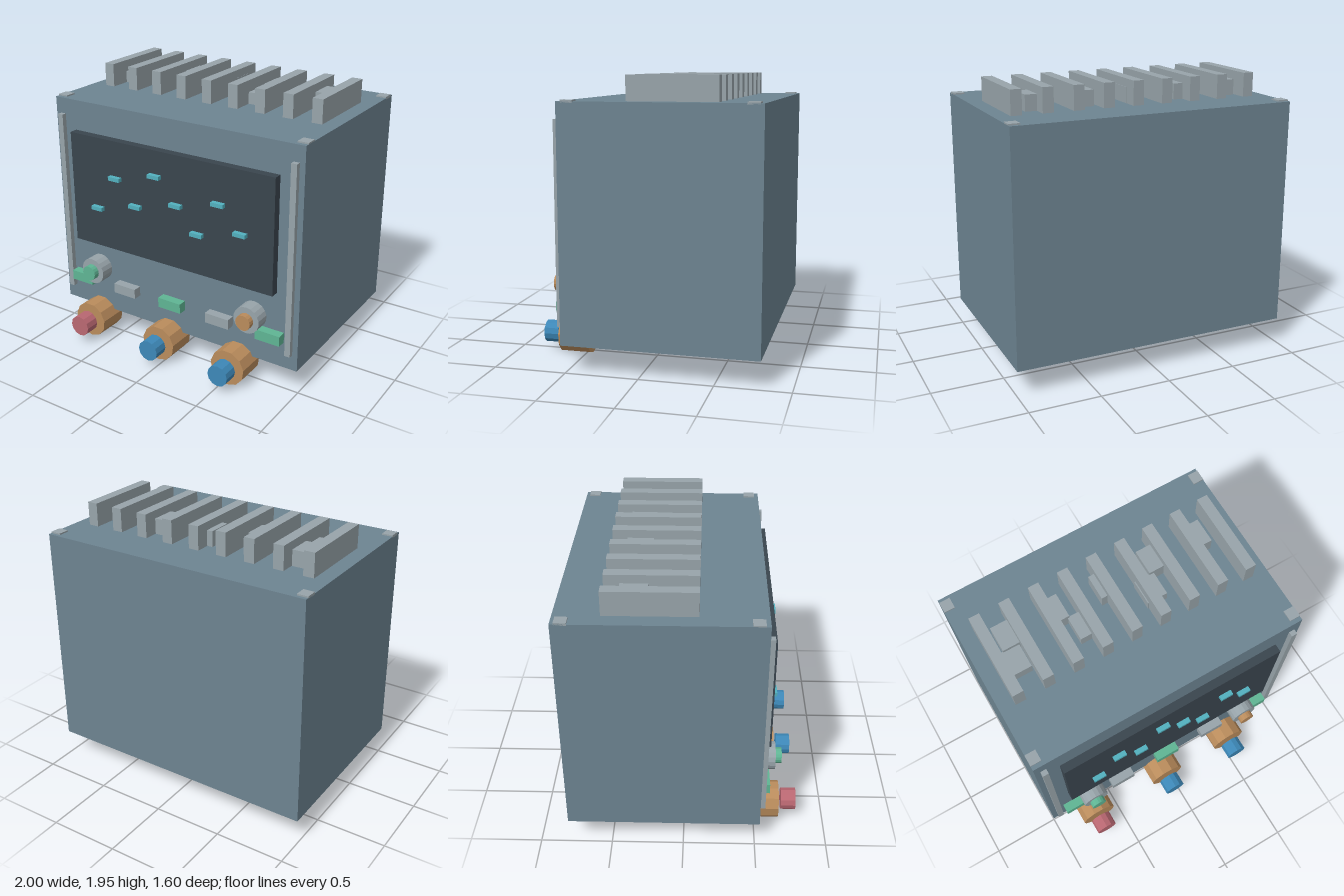
import * as THREE from 'three';

const mat = (name, color) => {
  const m = new THREE.MeshStandardMaterial({ color, flatShading: true });
  m.name = name;
  return m;
};

export function createModel() {
  const slate = mat('slate blue', 0x6d8491);
  const grey = mat('light grey', 0x98a4aa);
  const dark = mat('dark screen', 0x3a454e);
  const cyan = mat('cyan', 0x52b0be);
  const green = mat('green', 0x5fb594);
  const orange = mat('copper', 0xba8c5c);
  const blue = mat('blue', 0x3d88b8);
  const red = mat('red', 0xba6872);

  const model = new THREE.Group();
  model.name = 'controlConsole';

  // Box given by its lower and upper limits on each axis
  const box = (name, material, x0, x1, y0, y1, z0, z1) => {
    const mesh = new THREE.Mesh(new THREE.BoxGeometry(x1 - x0, y1 - y0, z1 - z0), material);
    mesh.position.set((x0 + x1) / 2, (y0 + y1) / 2, (z0 + z1) / 2);
    mesh.name = name;
    model.add(mesh);
  };

  // Cylinder pointing to the front
  const knob = (name, material, x, y, r, z0, z1, sides) => {
    const geo = new THREE.CylinderGeometry(r, r, z1 - z0, sides).rotateX(Math.PI / 2);
    const mesh = new THREE.Mesh(geo, material);
    mesh.position.set(x, y, (z0 + z1) / 2);
    mesh.name = name;
    model.add(mesh);
  };

  // Cabinet, screen and side rails
  box('cabinet', slate, -1, 1, 0.19, 1.79, -0.8, 0.53);
  box('screen', dark, -0.83, 0.83, 0.74, 1.57, 0.52, 0.59);
  for (const s of [-1, 1]) {
    box('sideRail', grey, s * 0.94 - 0.021, s * 0.94 + 0.021, 0.305, 1.675, 0.52, 0.565);
    // Corner plates on the roof
    for (const z of [-0.735, 0.46]) {
      box('cornerPlate', grey, s * 0.962 - 0.038, s * 0.962 + 0.038, 1.78, 1.8, z - 0.04, z + 0.04);
    }
  }

  // Dashes on the screen
  const dashes = [[-0.6, 1.043], [-0.433, 1.3], [-0.262, 1.128], [-0.092, 1.388],
    [0.08, 1.214], [0.25, 1.043], [0.418, 1.3], [0.588, 1.128]];
  for (const [x, y] of dashes) {
    box('screenDash', cyan, x - 0.047, x + 0.047, y - 0.014, y + 0.014, 0.585, 0.625);
  }

  // Row of buttons
  for (let i = 0; i < 5; i++) {
    const x = -0.8 + i * 0.4;
    box('button', i % 2 ? grey : green, x - 0.094, x + 0.094, 0.383, 0.457, 0.52, 0.595);
  }

  // Upper dials
  for (const s of [-1, 1]) {
    knob('dialBase', grey, s * 0.66, 0.53, 0.098, 0.52, 0.635, 18);
    knob('dialCap', s < 0 ? green : orange, s * 0.66, 0.53, 0.056, 0.63, 0.68, 16);
  }

  // Lower knobs, their caps standing slightly in front
  for (const [x, material] of [[-0.674, red], [-0.045, blue], [0.538, blue]]) {
    knob('knobBase', orange, x, 0.136, 0.133, 0.46, 0.675, 11);
    knob('knobCap', material, x, 0.138, 0.078, 0.695, 0.8, 12);
  }

  // Roof fins, with two rows of blocks between them
  for (let i = 0; i < 9; i++) {
    const x = (i - 4) * 0.2135;
    box('roofFin', grey, x - 0.038, x + 0.038, 1.78, 1.957, -0.503, 0.1);
  }
  for (let i = 0; i < 5; i++) {
    const x = -0.8 + i * 0.36;
    box('rearBlock', grey, x, x + 0.12, 1.78, 1.9, -0.4, -0.22);
  }
  for (let i = 0; i < 3; i++) {
    const x = -0.832 + i * 0.5;
    box('middleBlock', grey, x, x + 0.145, 1.78, 1.873, -0.227, 0 - 0.05);
  }
  return model;
}
